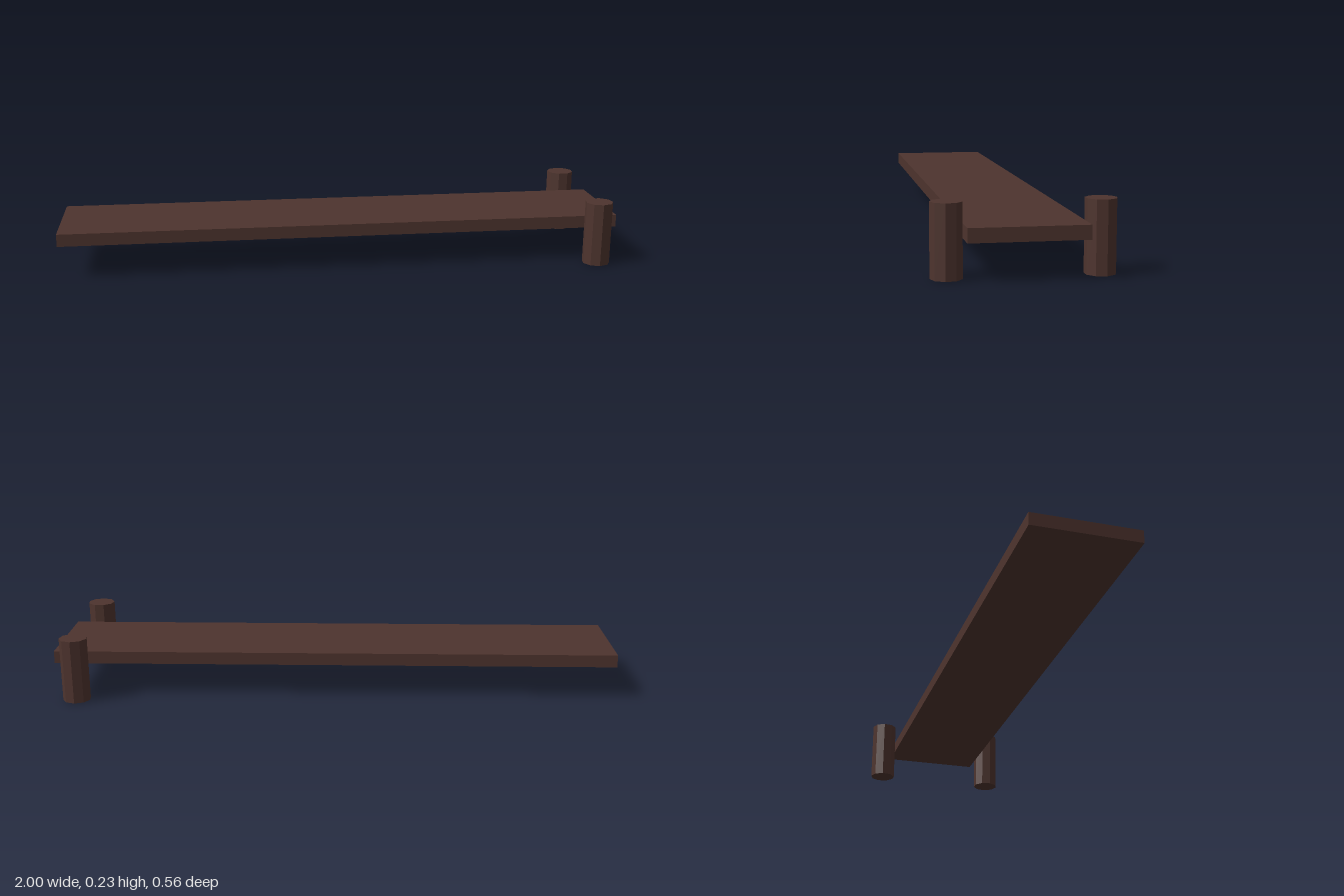
import * as THREE from 'three';

export function createModel() {
  const model = new THREE.Group();
  model.name = 'plankDock';

  const darkWood = new THREE.MeshStandardMaterial({ color: 0x4e342e, flatShading: true });
  darkWood.name = 'darkWood';

  // Long flat walkway board
  const plank = new THREE.Mesh(new THREE.BoxGeometry(2, 0.044, 0.363), darkWood);
  plank.name = 'plank';
  plank.position.y = 0.139;
  model.add(plank);

  // Nine-sided mooring posts, one on each side of the +x end, each with a corner facing outward
  const postHeight = 0.227;
  const postGeometry = new THREE.CylinderGeometry(0.049, 0.049, postHeight, 9);
  for (const side of [1, -1]) {
    const post = new THREE.Mesh(postGeometry, darkWood);
    post.name = side > 0 ? 'frontPost' : 'backPost';
    post.position.set(0.915, postHeight / 2, side * 0.23);
    post.rotation.y = side > 0 ? 0 : Math.PI;
    model.add(post);
  }

  return model;
}
